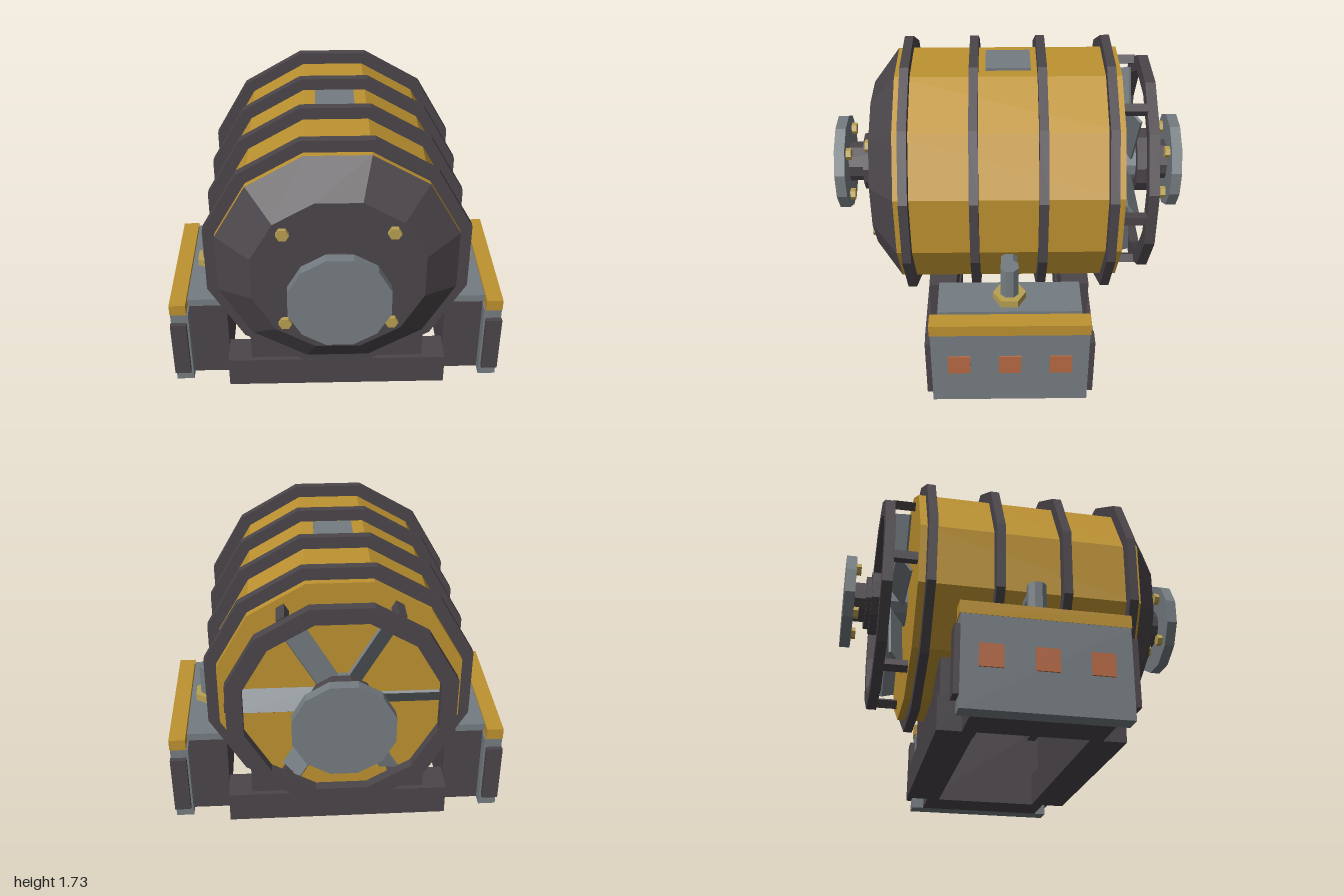
import * as THREE from 'three';

const mat = (name, color) => {
  const m = new THREE.MeshStandardMaterial({ color });
  m.name = name;
  return m;
};

export function createModel() {
  const gold = mat('ochre paint', 0xbd9230);
  const dark = mat('dark iron', 0x4b454a);
  const steel = mat('grey steel', 0x757d82);
  const brass = mat('brass', 0xb89f50);
  const orange = mat('orange lamp', 0xb86a45);

  const model = new THREE.Group();
  model.name = 'drumMachine';
  const AXIS_Y = 1.0;

  // Adds a faceted mesh
  function add(name, geo, material, x = 0, y = 0, z = 0, parent = model) {
    const flat = geo.index ? geo.toNonIndexed() : geo;
    flat.computeVertexNormals();
    const mesh = new THREE.Mesh(flat, material);
    mesh.name = name;
    mesh.position.set(x, y, z);
    parent.add(mesh);
    return mesh;
  }

  // Box given by its limits
  function box(name, material, x0, x1, y0, y1, z0, z1) {
    return add(name, new THREE.BoxGeometry(x1 - x0, y1 - y0, z1 - z0), material,
      (x0 + x1) / 2, (y0 + y1) / 2, (z0 + z1) / 2);
  }

  // Prism along z; radii are measured to the flats, with a flat on top
  function prism(name, material, rBack, rFront, z0, z1, x = 0, y = AXIS_Y, sides = 12) {
    const k = 1 / Math.cos(Math.PI / sides);
    const geo = new THREE.CylinderGeometry(rFront * k, rBack * k, z1 - z0, sides, 1, false, Math.PI / sides);
    geo.rotateX(Math.PI / 2);
    return add(name, geo, material, x, y, (z0 + z1) / 2);
  }

  // Drum, front cone and hoops
  prism('drum', gold, 0.663, 0.663, -0.625, 0.625);
  prism('frontCone', dark, 0.663, 0.47, 0.625, 0.775);
  for (const z of [0.565, 0.19, -0.185, -0.56]) prism('hoop', dark, 0.73, 0.73, z - 0.025, z + 0.025);
  box('topPlate', steel, -0.11, 0.11, 1.65, 1.68, -0.125, 0.125);

  // Front shaft and flange
  prism('frontCollar', dark, 0.165, 0.165, 0.775, 0.85);
  prism('frontShaft', dark, 0.115, 0.115, 0.85, 0.94);
  prism('frontFlange', steel, 0.27, 0.27, 0.94, 1.0);

  // Rear shaft and flange
  prism('fanHub', steel, 0.12, 0.12, -0.755, -0.625);
  prism('rearHub', dark, 0.185, 0.185, -0.84, -0.755);
  prism('rearCollar', dark, 0.155, 0.155, -0.87, -0.84);
  prism('rearShaft', dark, 0.115, 0.115, -0.94, -0.87);
  prism('rearFlange', steel, 0.27, 0.27, -1.0, -0.94);

  // Bolts on the cone and behind both flanges
  for (const sx of [-1, 1]) {
    for (const sy of [-1, 1]) {
      prism('coneBolt', brass, 0.032, 0.032, 0.77, 0.8, sx * 0.292, AXIS_Y + sy * 0.292, 6);
      for (const z of [-0.94, 0.91]) {
        prism('flangeBolt', brass, 0.03, 0.03, z, z + 0.03, sx * 0.142, AXIS_Y + sy * 0.142, 6);
      }
    }
  }

  // Rear guard ring
  const ringPoints = (r) => Array.from({ length: 12 }, (_, i) => {
    const a = (i + 0.5) * Math.PI / 6;
    const R = r / Math.cos(Math.PI / 12);
    return new THREE.Vector2(R * Math.cos(a), R * Math.sin(a));
  });
  const guardShape = new THREE.Shape(ringPoints(0.615));
  guardShape.holes.push(new THREE.Path(ringPoints(0.525)));
  add('rearGuard', new THREE.ExtrudeGeometry(guardShape, { depth: 0.058, bevelEnabled: false }),
    dark, 0, AXIS_Y, -0.813);

  // Guard struts and pitched fan blades
  for (let i = 0; i < 6; i++) {
    const arm = new THREE.Group();
    arm.name = 'fanArm';
    arm.position.set(0, AXIS_Y, -0.69);
    arm.rotation.z = i * Math.PI / 3;
    model.add(arm);
    add('guardStrut', new THREE.BoxGeometry(0.05, 0.05, 0.14), dark, 0.6, 0, 0, arm);
    const blade = add('fanBlade', new THREE.BoxGeometry(0.46, 0.13, 0.015), steel, 0.32, 0, 0, arm);
    blade.rotation.x = 0.63;
  }

  // Base beams and saddles
  for (const s of [-1, 1]) {
    const span = (a, b) => (s > 0 ? [a, b] : [-b, -a]);
    box('baseBeam', dark, -0.655, 0.655, 0, 0.19, ...span(0.3, 0.5));
    box('saddle', dark, -0.515, 0.515, 0.19, 0.46, ...span(0.31, 0.47));
  }

  // Side units, mirrored
  for (const s of [-1, 1]) {
    const side = (name, m, x0, x1, ...rest) =>
      (s > 0 ? box(name, m, x0, x1, ...rest) : box(name, m, -x1, -x0, ...rest));
    side('sideLeg', dark, 0.655, 0.88, 0, 0.535, -0.37, 0.37);
    side('legCap', steel, 0.635, 0.882, 0.535, 0.58, -0.4, 0.4);
    side('sidePanel', steel, 0.88, 0.985, 0, 0.5, -0.44, 0.44);
    side('panelTrim', gold, 0.89, 0.987, 0.5, 0.57, -0.445, 0.445);
    for (const z of [-0.455, 0.455]) {
      side('panelEnd', dark, 0.892, 0.988, 0.07, 0.44, z - 0.015, z + 0.015);
    }
    for (const z of [-0.285, 0, 0.285]) {
      side('panelLamp', orange, 0.985, 0.994, 0.22, 0.345, z - 0.0625, z + 0.0625);
    }

    // Hex nut and elbow pipe into the drum
    add('pipeNut', new THREE.CylinderGeometry(0.092, 0.092, 0.045, 6), brass, s * 0.767, 0.602, 0);
    add('standPipe', new THREE.CylinderGeometry(0.054, 0.054, 0.19, 8, 1, false, Math.PI / 8),
      steel, s * 0.767, 0.715, 0);
    const feed = new THREE.CylinderGeometry(0.05, 0.05, 0.17, 8, 1, false, Math.PI / 8);
    feed.rotateZ(Math.PI / 2);
    add('feedPipe', feed, steel, s * 0.69, 0.755, 0);
  }

  return model;
}
